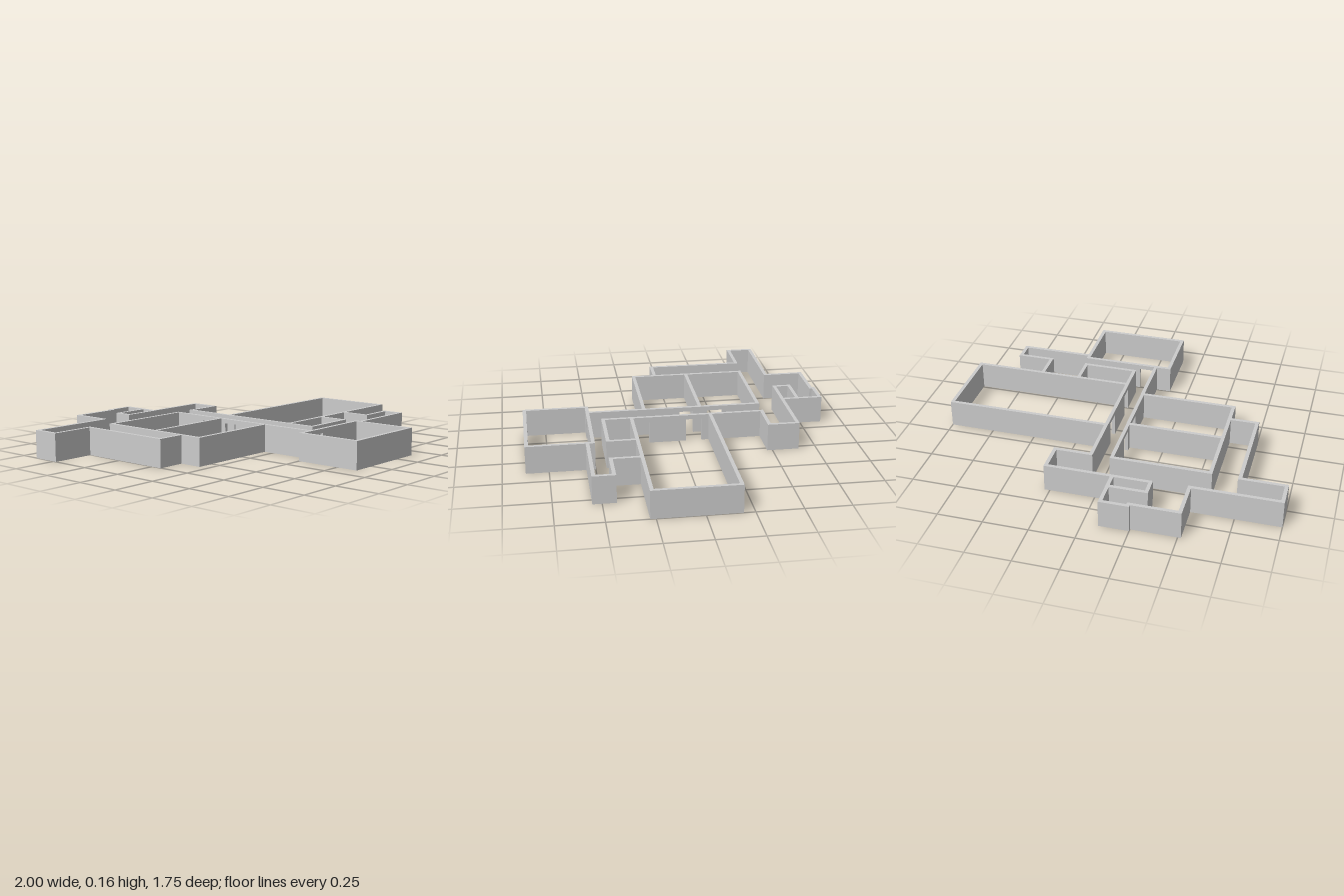
import * as THREE from 'three';

const H = 0.155;      // wall height
const T = 0.02;       // wall thickness
const DOOR_H = 0.13;  // door height, lintel above

export function createModel() {
  const model = new THREE.Group();
  model.name = 'floorPlanWalls';
  const material = new THREE.MeshStandardMaterial({ color: 0xcccccc });

  // One straight, axis-aligned block between two plan points
  function block(group, name, x0, z0, x1, z1, y0 = 0) {
    const geo = new THREE.BoxGeometry(Math.abs(x1 - x0) + T, H - y0, Math.abs(z1 - z0) + T);
    const mesh = new THREE.Mesh(geo, material);
    mesh.position.set((x0 + x1) / 2, (H + y0) / 2, (z0 + z1) / 2);
    mesh.name = name;
    group.add(mesh);
  }

  // Walls following a polyline of [x, z] points
  function walls(name, points) {
    const group = new THREE.Group();
    group.name = name;
    for (let i = 1; i < points.length; i++) block(group, 'wall', ...points[i - 1], ...points[i]);
    model.add(group);
  }

  // Straight wall with door openings; doors are [from, to] along the wall
  function doorWall(name, axis, at, start, end, doors) {
    const group = new THREE.Group();
    group.name = name;
    const piece = (label, a, b, y) =>
      axis === 'z' ? block(group, label, at, a, at, b, y) : block(group, label, a, at, b, at, y);
    let from = start;
    for (const [a, b] of doors) {
      piece('wall', from, a - T / 2, 0);
      piece('lintel', a - T / 2, b + T / 2, DOOR_H);
      from = b + T / 2;
    }
    piece('wall', from, end, 0);
    model.add(group);
  }

  // Corridor sides
  doorWall('corridorRightWall', 'z', -0.048, -0.48, 0.51, [[-0.27, -0.18], [-0.1, -0.02]]);
  doorWall('corridorLeftWall', 'z', 0.068, -0.48, 0.43, [[-0.13, -0.04], [0.17, 0.25]]);

  // Pair of rooms on the right of the corridor
  walls('pairedRooms', [[-0.048, -0.48], [-0.587, -0.48], [-0.587, 0.185], [-0.048, 0.185]]);
  walls('roomDivider', [[-0.587, -0.14], [-0.048, -0.14]]);

  // Large hall on the left of the corridor
  walls('largeHall', [[0.068, -0.18], [0.99, -0.18], [0.99, 0.27], [0.068, 0.27]]);
  walls('smallRoom', [[0.068, 0.43], [0.37, 0.43], [0.37, 0.27]]);

  // Front room, entered from the corridor
  walls('frontRoom', [[-0.13, 0.51], [-0.13, 0.865], [0.38, 0.865], [0.38, 0.51]]);
  doorWall('frontRoomEntrance', 'x', 0.51, -0.13, 0.38, [[-0.03, 0.05]]);

  // Side passage running from the front room to the hall
  walls('sidePassage', [[0.38, 0.54], [0.79, 0.54], [0.79, 0.435], [0.595, 0.435], [0.595, 0.27]]);

  // Outer wall around the back and right sides
  walls('rightOuterWall', [[-0.587, 0.055], [-0.745, 0.055], [-0.745, -0.49], [-0.99, -0.49],
    [-0.99, -0.63], [-0.507, -0.63], [-0.507, -0.85], [-0.24, -0.85], [-0.24, -0.865],
    [-0.095, -0.865], [-0.095, -0.64]]);
  walls('backOuterWall', [[-0.095, -0.64], [0.27, -0.64], [0.27, -0.48], [0.068, -0.48]]);
  walls('backCloset', [[-0.095, -0.73], [-0.303, -0.73], [-0.303, -0.64], [-0.095, -0.64]]);

  return model;
}
